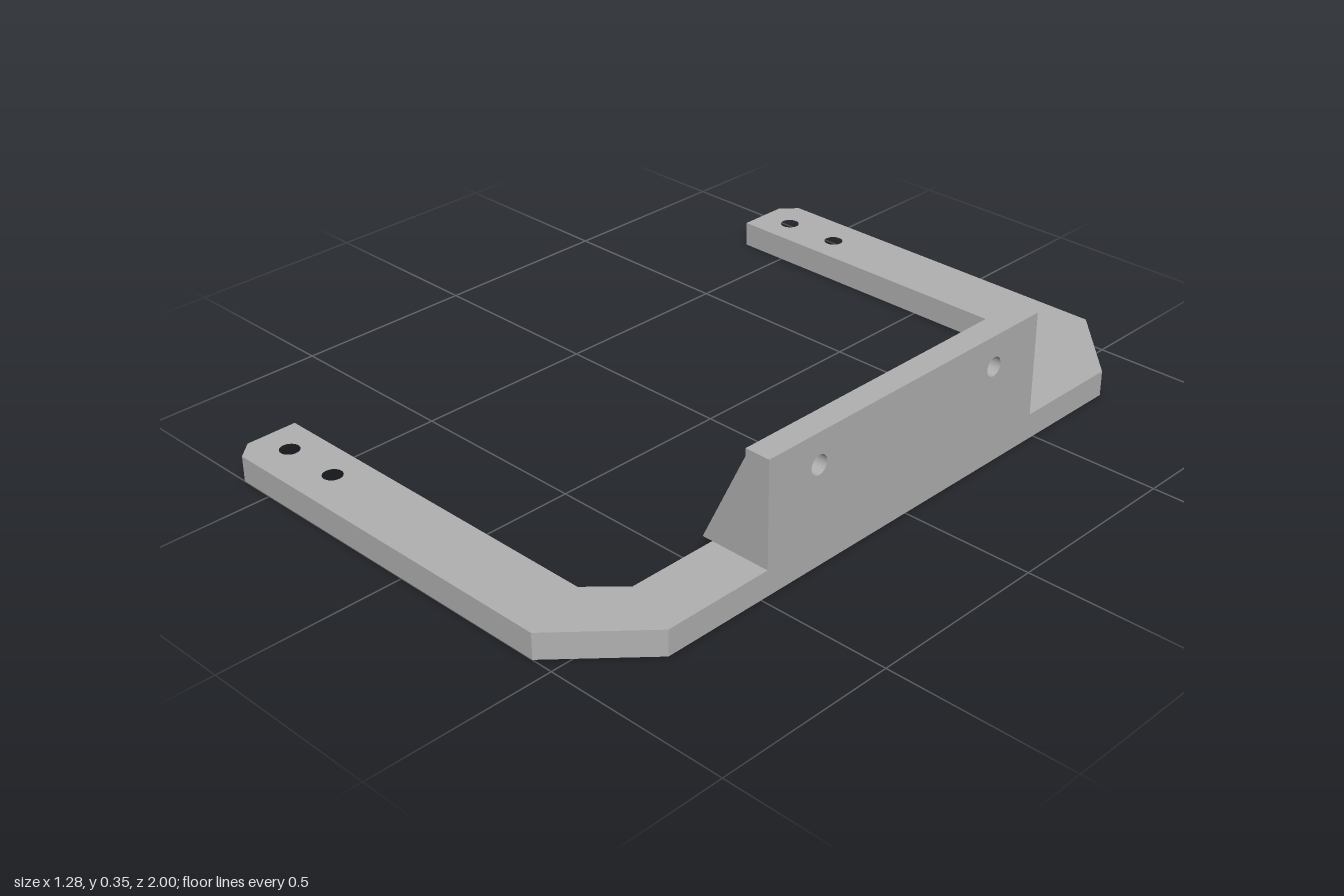
import * as THREE from 'three';

const BASE_H = 0.07, TOP = 0.355, HOLE_R = 0.026;

function polygon(points, holes = []) {
  const shape = new THREE.Shape(points.map(([x, y]) => new THREE.Vector2(x, y)));
  for (const [x, y] of holes) {
    shape.holes.push(new THREE.Path().absarc(x, y, HOLE_R, 0, Math.PI * 2, true));
  }
  return shape;
}

function extrude(shape, depth) {
  return new THREE.ExtrudeGeometry(shape, { depth, bevelEnabled: false, curveSegments: 16 });
}

export function createModel() {
  const model = new THREE.Group();
  const metal = new THREE.MeshStandardMaterial({ color: 0xb0b0b0 });
  metal.name = 'grey metal';

  function add(name, geometry) {
    const mesh = new THREE.Mesh(geometry, metal);
    mesh.name = name;
    model.add(mesh);
    return mesh;
  }

  // U-shaped base: one half of the outline, mirrored across the centre line
  const outer = [[-0.64, 0.955], [-0.6, 1], [0.44, 1], [0.64, 0.79]];
  const inner = [[0.47, 0.73], [0.385, 0.815], [-0.64, 0.815]];
  const mirror = (pts) => pts.map(([x, z]) => [x, -z]).reverse();
  const outline = [...outer, ...mirror(outer), ...mirror(inner), ...inner];
  const baseHoles = [];
  for (const x of [-0.545, -0.375]) for (const z of [-0.9, 0.9]) baseHoles.push([x, z]);
  add('baseFrame', extrude(polygon(outline, baseHoles), BASE_H).rotateX(-Math.PI / 2));

  // Upright mounting plate with two bolt holes
  const plate = polygon(
    [[-0.48, BASE_H], [0.48, BASE_H], [0.48, TOP], [-0.48, TOP]],
    [[-0.315, 0.27], [0.315, 0.27]]
  );
  add('uprightPlate', extrude(plate, 0.07).rotateY(Math.PI / 2)).position.x = 0.57;

  // Triangular gussets bracing both ends of the plate
  const gusset = polygon([[0.44, BASE_H], [0.57, BASE_H], [0.57, 0.335]]);
  add('frontGusset', extrude(gusset, 0.043)).position.z = 0.437;
  add('backGusset', extrude(gusset, 0.043)).position.z = -0.48;

  return model;
}
